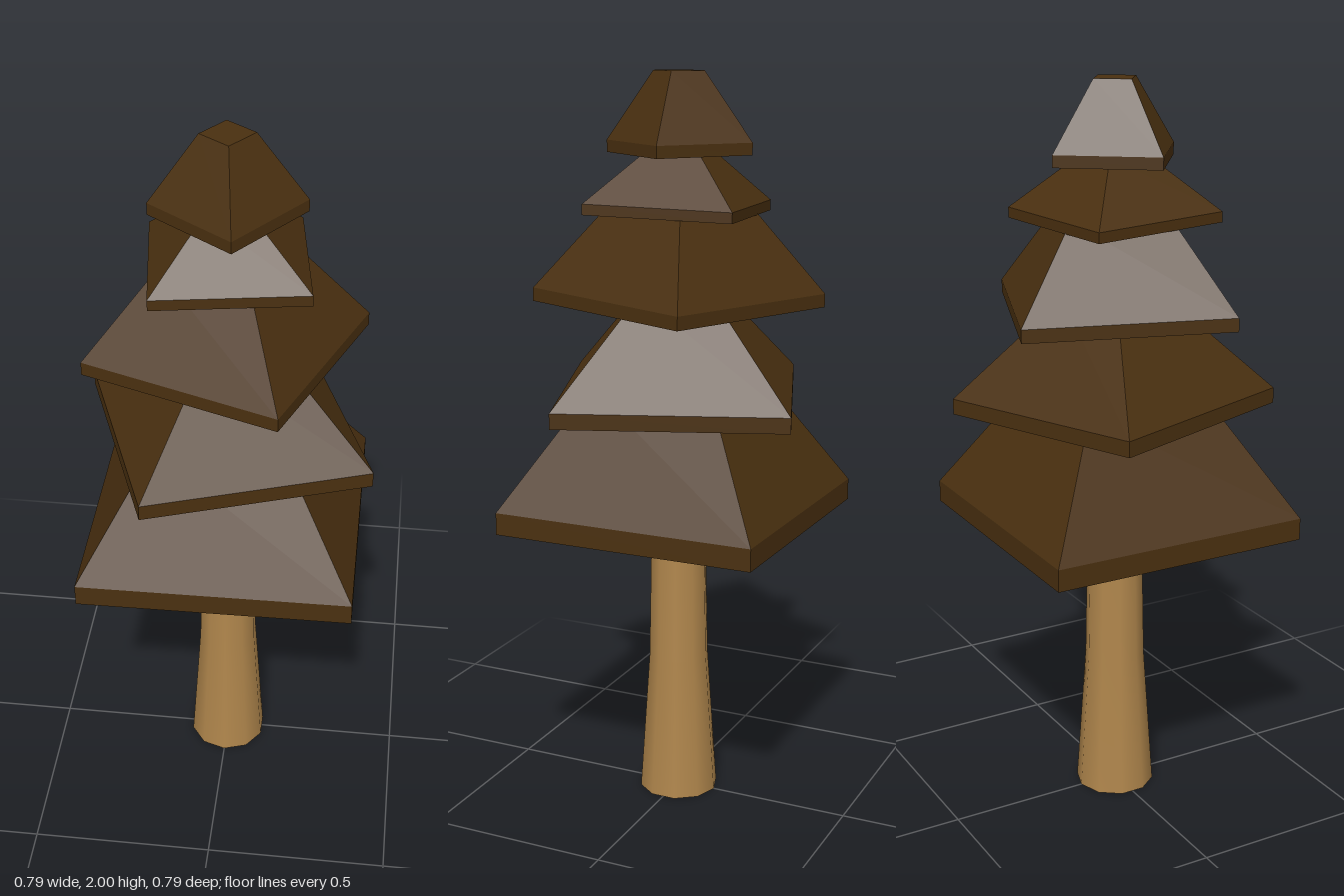
import * as THREE from 'three';

export function createModel() {
  const tree = new THREE.Group();
  tree.name = 'tree';

  const bark = new THREE.MeshStandardMaterial({ color: 0xb0864c, side: THREE.DoubleSide });
  bark.name = 'lightBark';
  const foliage = new THREE.MeshStandardMaterial({ color: 0x4a3010, flatShading: true });
  foliage.name = 'darkFoliage';

  // Trunk: open tube flaring towards the ground
  const trunkProfile = [[0.11, 0], [0.083, 0.4], [0.075, 0.83]].map(p => new THREE.Vector2(...p));
  const trunk = new THREE.Mesh(new THREE.LatheGeometry(trunkProfile, 10), bark);
  trunk.name = 'trunk';
  tree.add(trunk);

  // Foliage tiers: four-sided frusta with a short upright rim, each twisted and slightly tilted
  const tiers = [
    { y: 0.8, rim: 0.06, height: 0.38, r: 0.516, rTop: 0.245, twist: 45, tiltX: 0.002, tiltZ: 0.01 },
    { y: 1.122, rim: 0.042, height: 0.31, r: 0.434, rTop: 0.135, twist: 65.5, tiltX: -0.006, tiltZ: -0.016 },
    { y: 1.392, rim: 0.036, height: 0.27, r: 0.389, rTop: 0.18, twist: 24.3, tiltX: -0.02, tiltZ: 0.006 },
    { y: 1.635, rim: 0.028, height: 0.175, r: 0.281, rTop: 0.08, twist: 52.9, tiltX: -0.02, tiltZ: 0.022 },
    { y: 1.788, rim: 0.032, height: 0.212, r: 0.198, rTop: 0.069, twist: 8.5, tiltX: 0, tiltZ: 0.006 },
  ];
  tiers.forEach((t, i) => {
    const profile = [[0, 0], [t.r, 0], [t.r, t.rim], [t.rTop, t.height], [0, t.height]]
      .map(p => new THREE.Vector2(...p));
    const geometry = new THREE.LatheGeometry(profile, 4, THREE.MathUtils.degToRad(t.twist));
    const tier = new THREE.Mesh(geometry, foliage);
    tier.name = `foliageTier${i + 1}`;
    tier.position.y = t.y;
    tier.rotation.set(t.tiltX, 0, t.tiltZ);
    tree.add(tier);
  });

  return tree;
}
